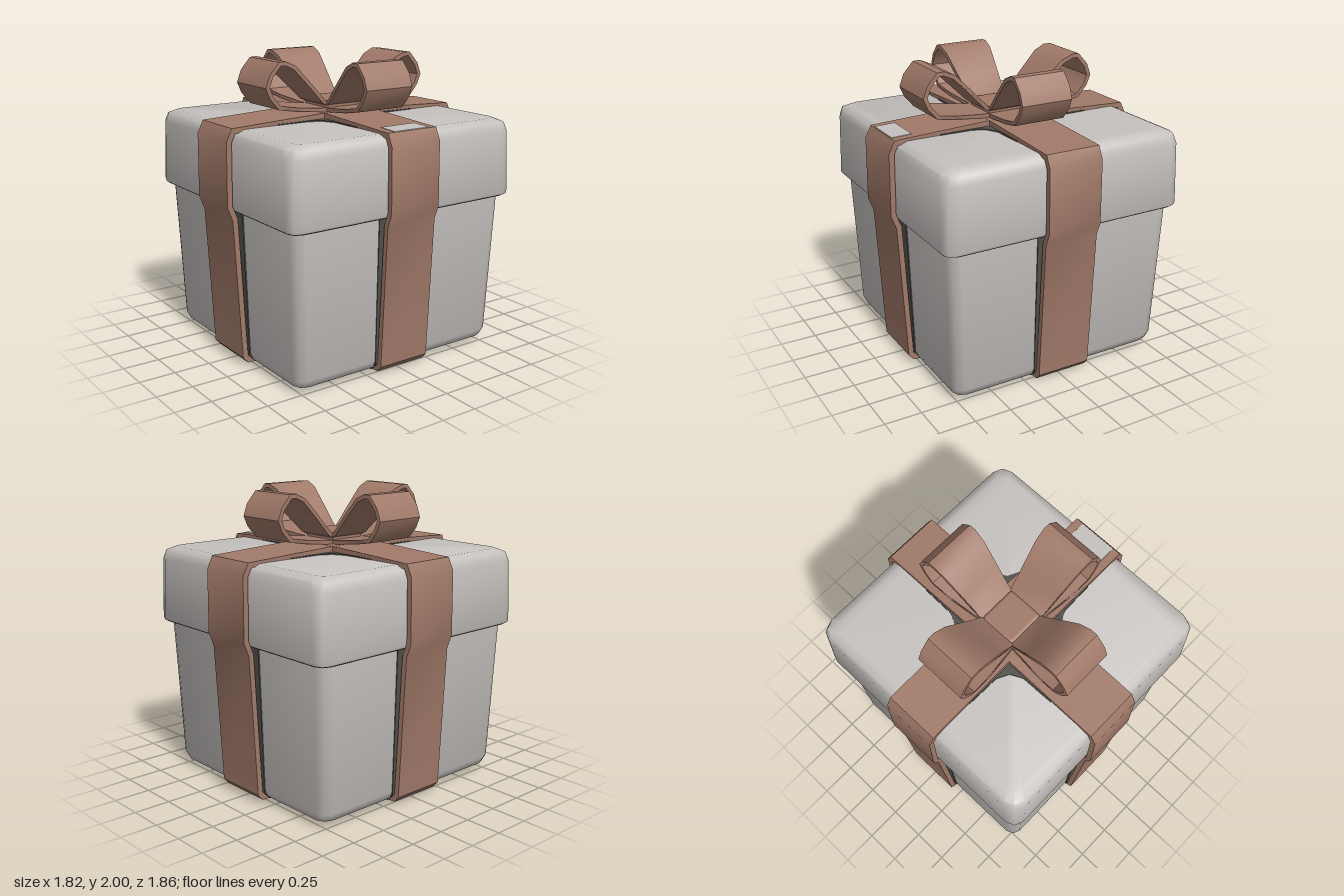
import * as THREE from 'three';
import { toCreasedNormals } from 'three/addons/utils/BufferGeometryUtils.js';
import { RoundedBoxGeometry } from 'three/addons/geometries/RoundedBoxGeometry.js';

const material = (name, color) => Object.assign(new THREE.MeshStandardMaterial({ color }), { name });
const paper = material('paperGrey', 0xc6c2bf);
const ribbon = material('ribbonBrown', 0xa17a69);
const shade = material('darkTrim', 0x50514c);

function add(parent, name, geometry, mat) {
  const mesh = new THREE.Mesh(geometry, mat);
  mesh.name = name;
  parent.add(mesh);
  return mesh;
}

// Stack of rounded squares: each section is [y, half width, corner radius]
function loftSquare(sections) {
  const pos = [], idx = [], n = 12;
  for (const [y, h, r] of sections) {
    for (let c = 0; c < 4; c++) {
      for (let k = 0; k < 3; k++) {
        const a = c * Math.PI / 2 + k * Math.PI / 4, m = c * Math.PI / 2 + Math.PI / 4;
        const d = (h - r) * Math.SQRT2;
        pos.push(Math.cos(m) * d + Math.cos(a) * r, y, -(Math.sin(m) * d + Math.sin(a) * r));
      }
    }
  }
  const last = (sections.length - 1) * n;
  for (let s = 0; s < last; s += n) {
    for (let i = 0; i < n; i++) {
      const j = (i + 1) % n;
      idx.push(s + i, s + j, s + n + j, s + i, s + n + j, s + n + i);
    }
  }
  for (let i = 1; i < n - 1; i++) idx.push(0, i + 1, i, last, last + i, last + i + 1);
  const g = new THREE.BufferGeometry();
  g.setAttribute('position', new THREE.Float32BufferAttribute(pos, 3));
  g.setIndex(idx);
  return toCreasedNormals(g, 0.9);
}

// Moves a counter-clockwise outline inward by t
function inset(points, t) {
  const n = points.length;
  return points.map((p, i) => {
    const a = p.clone().sub(points[(i + n - 1) % n]).normalize();
    const b = points[(i + 1) % n].clone().sub(p).normalize();
    const na = new THREE.Vector2(-a.y, a.x), nb = new THREE.Vector2(-b.y, b.x);
    const k = t / Math.max(0.45, 1 + na.dot(nb));
    return p.clone().addScaledVector(na.add(nb), k);
  });
}

// Closed strip of ribbon with its outline in x-y and its width along z
function band(outline, thickness, halfWidth) {
  const pts = outline.map(([x, y]) => new THREE.Vector2(x, y));
  const shape = new THREE.Shape(pts);
  if (thickness) shape.holes.push(new THREE.Path(inset(pts, thickness)));
  const g = new THREE.ExtrudeGeometry(shape, { depth: 2, bevelEnabled: false });
  g.translate(0, 0, -1);
  const p = g.attributes.position;
  for (let i = 0; i < p.count; i++) p.setZ(i, p.getZ(i) * halfWidth(p.getX(i), p.getY(i)));
  return toCreasedNormals(g, 0.6);
}

const mirrored = half => [...half, ...half.slice().reverse().filter(p => p[0] > 0).map(([x, y]) => [-x, y])];

// Thin cross with filleted inner corners
function crossPlate() {
  const quarter = [[0.55, 0.195], [0.32, 0.2], [0.24, 0.24], [0.2, 0.32], [0.195, 0.55]];
  const pts = [];
  for (let q = 0; q < 4; q++) {
    for (const [x, y] of quarter) {
      pts.push(new THREE.Vector2(x, y).rotateAround(new THREE.Vector2(), q * Math.PI / 2));
    }
  }
  const g = new THREE.ExtrudeGeometry(new THREE.Shape(pts), { depth: 0.008, bevelEnabled: false });
  return g.rotateX(-Math.PI / 2);
}

export function createModel() {
  const gift = new THREE.Group();
  gift.name = 'giftBox';

  // Tapered box and overhanging lid
  const body = add(gift, 'boxBody', loftSquare([
    [0.03, 0.72, 0.05], [0.05, 0.76, 0.07], [0.1, 0.78, 0.07], [1.09, 0.815, 0.07],
  ]), paper);
  const rim = add(gift, 'lidUnderside', loftSquare([[1.072, 0.845, 0.07], [1.08, 0.855, 0.07]]), shade);
  const lid = add(gift, 'lid', loftSquare([
    [1.08, 0.855, 0.06], [1.1, 0.865, 0.08], [1.51, 0.857, 0.09], [1.57, 0.84, 0.09], [1.597, 0.78, 0.06],
  ]), paper);
  for (const part of [body, rim, lid]) part.scale.z = 1.02;

  // Dark edging where the ribbons cross
  add(gift, 'topCrossShade', crossPlate(), shade).position.y = 1.596;
  add(gift, 'bottomCrossShade', crossPlate(), shade).position.y = 0.023;

  // Ribbons wrapped both ways round the box, with dark edging on the body
  const wrap = mirrored([
    [0, 0.003], [0.22, 0.005], [0.79, 0.03], [0.825, 0.07], [0.875, 1.02], [0.91, 1.11],
    [0.905, 1.53], [0.865, 1.612], [0.2, 1.64], [0, 1.643],
  ]);
  const edging = mirrored([[0, 0.024], [0.74, 0.03], [0.785, 0.08], [0.821, 1.075], [0, 1.075]]);
  for (const [i, name] of ['sideRibbon', 'frontRibbon'].entries()) {
    const group = new THREE.Group();
    group.name = name;
    group.rotation.y = i * Math.PI / 2;
    group.scale.x = i ? 1.022 : 1;
    add(group, name + 'Wrap', band(wrap, 0.036, () => 0.19), ribbon);
    add(group, name + 'Edging', band(edging, 0, (x, y) => y > 1 ? 0.212 : 0.203), shade);
    gift.add(group);
  }

  // Pale patch on the left end of the side ribbon
  const patch = add(gift, 'ribbonPatch', new RoundedBoxGeometry(0.14, 0.006, 0.27, 2, 0.003), paper);
  patch.position.set(0.79, 1.6165, 0);
  patch.rotation.z = -0.042;

  // Bow: four teardrop loops round a knot
  const bow = new THREE.Group();
  bow.name = 'bow';
  bow.position.set(0.02, 0, 0.01);
  const loop = [
    [0.05, 1.635], [0.2, 1.645], [0.4, 1.67], [0.535, 1.695], [0.6, 1.77], [0.63, 1.84],
    [0.6, 1.92], [0.53, 1.998], [0.48, 2.0], [0.4, 1.965], [0.27, 1.84], [0.15, 1.72], [0.05, 1.675],
  ];
  const loopWidth = x => 0.13 + 0.05 * Math.min(1, Math.max(0, (x - 0.1) / 0.35));
  ['leftLoop', 'backLoop', 'rightLoop', 'frontLoop'].forEach((name, i) => {
    add(bow, name, band(loop, 0.027, loopWidth), ribbon).rotation.y = i * Math.PI / 2;
  });
  add(bow, 'knot', new RoundedBoxGeometry(0.28, 0.09, 0.27, 2, 0.03), ribbon).position.y = 1.675;
  gift.add(bow);

  return gift;
}
